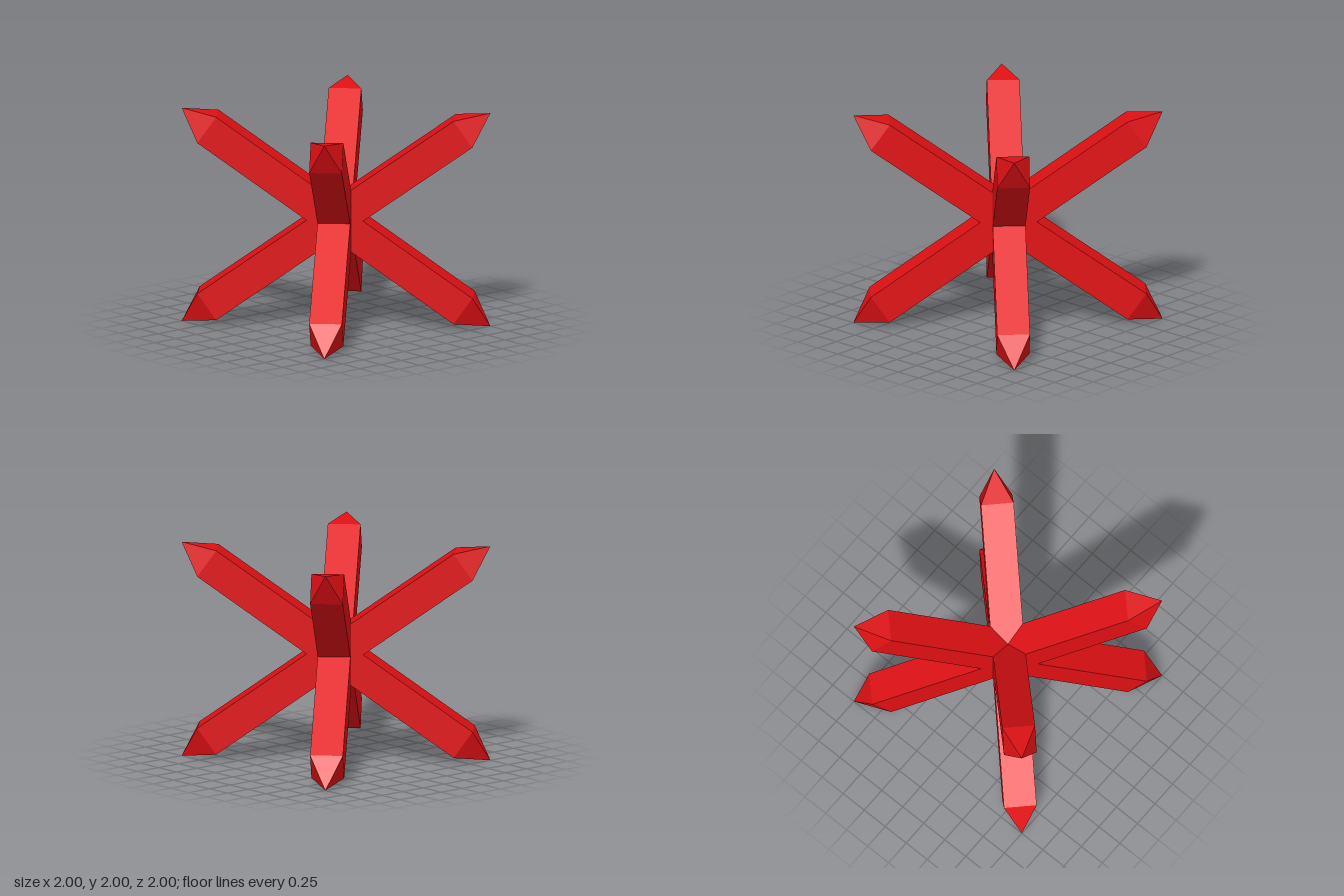
import * as THREE from 'three';

const WIDTH = 0.3;                            // side of the square bars
const SHOULDER = 0.83 * Math.sqrt(3);         // centre to where the point starts
const TIP = Math.sqrt(3);                     // centre to the very tip

export function createModel() {
  const model = new THREE.Group();
  model.name = 'eightPointedStar';
  const red = new THREE.MeshStandardMaterial({ color: 0xe01014, flatShading: true });

  const barGeometry = new THREE.BoxGeometry(WIDTH, WIDTH, 2 * SHOULDER);

  // Four-sided point whose base matches the bar, aimed along +z
  const pointGeometry = new THREE.ConeGeometry(WIDTH / Math.SQRT2, TIP - SHOULDER, 4, 1, true);
  pointGeometry.rotateY(Math.PI / 4);
  pointGeometry.rotateX(Math.PI / 2);
  pointGeometry.translate(0, 0, (SHOULDER + TIP) / 2);

  // One bar along each diagonal of a cube, pointed at both ends
  for (const [x, z] of [[1, 1], [-1, 1], [1, -1], [-1, -1]]) {
    const spike = new THREE.Group();
    spike.name = 'diagonalSpike';

    const bar = new THREE.Mesh(barGeometry, red);
    bar.name = 'bar';
    const upperPoint = new THREE.Mesh(pointGeometry, red);
    upperPoint.name = 'upperPoint';
    const lowerPoint = new THREE.Mesh(pointGeometry, red);
    lowerPoint.name = 'lowerPoint';
    lowerPoint.rotation.y = Math.PI;

    spike.add(bar, upperPoint, lowerPoint);
    spike.lookAt(x, 1, z);
    spike.position.y = 1;
    model.add(spike);
  }
  return model;
}
